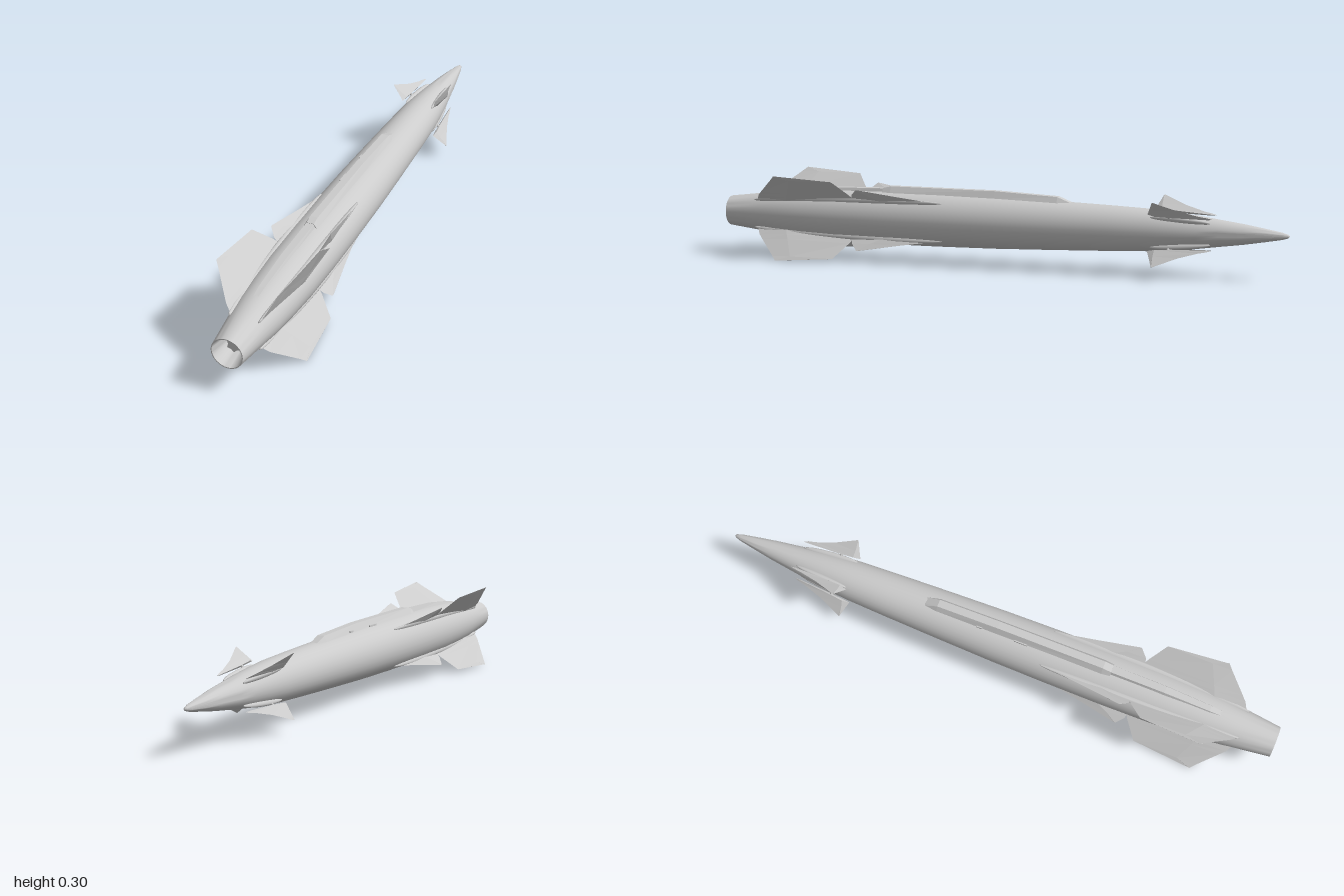
import * as THREE from 'three';
import { toCreasedNormals } from 'three/addons/utils/BufferGeometryUtils.js';

const AXIS_Y = 0.15;

// Closed solid from equal-length rings of [x, y, z]; winding is made outward by signed volume.
function loft(rings) {
  const n = rings[0].length, tris = [];
  for (let i = 0; i < rings.length - 1; i++) {
    for (let j = 0; j < n; j++) {
      const k = (j + 1) % n;
      const a = rings[i][j], b = rings[i][k], c = rings[i + 1][k], d = rings[i + 1][j];
      tris.push([a, b, c], [a, c, d]);
    }
  }
  const first = rings[0], last = rings[rings.length - 1];
  for (let j = 1; j < n - 1; j++) {
    tris.push([first[0], first[j + 1], first[j]], [last[0], last[j], last[j + 1]]);
  }
  const v = (p) => new THREE.Vector3(...p);
  const volume = tris.reduce((s, [a, b, c]) => s + v(a).dot(v(b).cross(v(c))), 0);
  const pos = tris.flatMap(([a, b, c]) => (volume > 0 ? [a, b, c] : [a, c, b])).flat();
  const g = new THREE.BufferGeometry();
  g.setAttribute('position', new THREE.Float32BufferAttribute(pos, 3));
  g.computeVertexNormals();
  return g;
}

// Fin pointing along +x: stations are [radius, leading z, trailing z, half thickness].
function finGeometry(stations, ridge = 0.6) {
  return loft(stations.map(([r, z0, z1, t]) => {
    const m = z0 + (z1 - z0) * ridge;
    return [[r, 0, z0], [r, t, m], [r, 0, z1], [r, -t, m]];
  }));
}

// Surface of revolution about z from [radius, z] points.
function turned(points, segments = 32) {
  const g = new THREE.LatheGeometry(points.map(([r, z]) => new THREE.Vector2(r, z)), segments);
  return toCreasedNormals(g.rotateX(Math.PI / 2), 0.55);
}

export function createModel() {
  const group = new THREE.Group();
  const smooth = new THREE.MeshStandardMaterial({ color: 0xcccccc });
  const flat = new THREE.MeshStandardMaterial({ color: 0xcccccc, flatShading: true });
  const add = (name, geometry, material, parent = group) => {
    const mesh = new THREE.Mesh(geometry, material);
    mesh.name = name;
    parent.add(mesh);
    return mesh;
  };

  // Body: pointed nose, slowly widening tube, boat tail, nozzle lip and bore
  const body = add('body', turned([
    [0, -1], [0.006, -0.994], [0.012, -0.975], [0.022, -0.92], [0.034, -0.85],
    [0.045, -0.77], [0.055, -0.7], [0.064, -0.62], [0.071, -0.54], [0.077, -0.4],
    [0.084, -0.2], [0.09, 0], [0.093, 0.2], [0.094, 0.4], [0.092, 0.58],
    [0.086, 0.7], [0.078, 0.8], [0.07, 0.86], [0.053, 1],
    [0.05, 1], [0.04, 0.95], [0.034, 0.91], [0, 0.91],
  ]), smooth);
  body.position.y = AXIS_Y;

  // Six-pointed plug inside the nozzle
  const star = new THREE.Shape();
  for (let i = 0; i < 12; i++) {
    const r = i % 2 ? 0.019 : 0.026, a = (i / 12) * Math.PI * 2 + Math.PI / 2;
    star[i ? 'lineTo' : 'moveTo'](r * Math.cos(a), r * Math.sin(a));
  }
  star.closePath();
  const plug = add('nozzlePlug', new THREE.ExtrudeGeometry(star, { depth: 0.055, bevelEnabled: false }), flat);
  plug.position.set(0, AXIS_Y, 0.9);

  // Dorsal spine: stations are [z, foot y, top y, foot half width, top half width]
  const spine = (rows) => loft(rows.map(([z, y0, y1, w0, w1]) => [
    [-w0 - 0.012, y0 - 0.02, z], [-w0, y0, z], [-w1, y1, z],
    [w1, y1, z], [w0, y0, z], [w0 + 0.012, y0 - 0.02, z],
  ]));
  add('dorsalSpine', spine([
    [-0.27, 0.226, 0.229, 0.02, 0.012], [-0.22, 0.229, 0.249, 0.024, 0.013],
    [0, 0.236, 0.26, 0.025, 0.013], [0.38, 0.241, 0.262, 0.025, 0.013],
    [0.41, 0.241, 0.255, 0.022, 0.013],
  ]), flat);
  add('rearSpine', spine([
    [0.4, 0.239, 0.254, 0.018, 0.013], [0.6, 0.236, 0.25, 0.018, 0.012],
    [0.76, 0.222, 0.235, 0.016, 0.01], [0.86, 0.205, 0.216, 0.01, 0.005],
  ]), flat);

  // Small lugs beside the spine
  for (const [z, length] of [[0.09, 0.045], [-0.06, 0.02]]) {
    const lug = add('spineLug', new THREE.BoxGeometry(0.004, 0.006, length), flat);
    lug.position.set(-0.026, 0.24, z);
  }

  // Four diagonal fin sets
  const strake = finGeometry([
    [0.075, 0.13, 0.505, 0.01], [0.094, 0.2, 0.505, 0.007],
    [0.12, 0.33, 0.5, 0.004], [0.15, 0.468, 0.476, 0.0006],
  ]);
  const tailFin = finGeometry([
    [0.06, 0.5, 0.88, 0.009], [0.1, 0.5, 0.86, 0.007], [0.12, 0.51, 0.843, 0.006],
    [0.19, 0.555, 0.782, 0.002], [0.21, 0.762, 0.766, 0.0005],
  ], 0.7);
  const canard = finGeometry([
    [0.072, -0.755, -0.735, 0.002], [0.08, -0.735, -0.6, 0.006],
    [0.086, -0.71, -0.54, 0.008], [0.11, -0.645, -0.549, 0.005],
    [0.15, -0.568, -0.563, 0.0006],
  ], 0.85);
  const fairing = (length, height, width) =>
    new THREE.SphereGeometry(1, 16, 12).rotateX(Math.PI / 2).scale(height, width, length / 2);
  const tailFairing = fairing(0.72, 0.022, 0.012);
  const canardFairing = fairing(0.2, 0.013, 0.009);
  const pivot = new THREE.CylinderGeometry(0.005, 0.005, 0.03, 10).rotateZ(Math.PI / 2);

  for (let i = 0; i < 4; i++) {
    const set = new THREE.Group();
    set.name = 'finSet';
    set.position.y = AXIS_Y;
    set.rotation.z = Math.PI / 4 + (i * Math.PI) / 2;
    group.add(set);
    add('strake', strake, flat, set);
    add('tailFin', tailFin, flat, set);
    add('canard', canard, flat, set);
    const rootFairing = add('tailFairing', tailFairing, smooth, set);
    rootFairing.position.set(0.08, 0, 0.53);
    rootFairing.rotation.y = -0.03;
    const noseFairing = add('canardFairing', canardFairing, smooth, set);
    noseFairing.position.set(0.06, 0, -0.645);
    noseFairing.rotation.y = 0.1;
    add('canardPivot', pivot, smooth, set).position.set(0.075, 0, -0.61);
  }
  return group;
}
